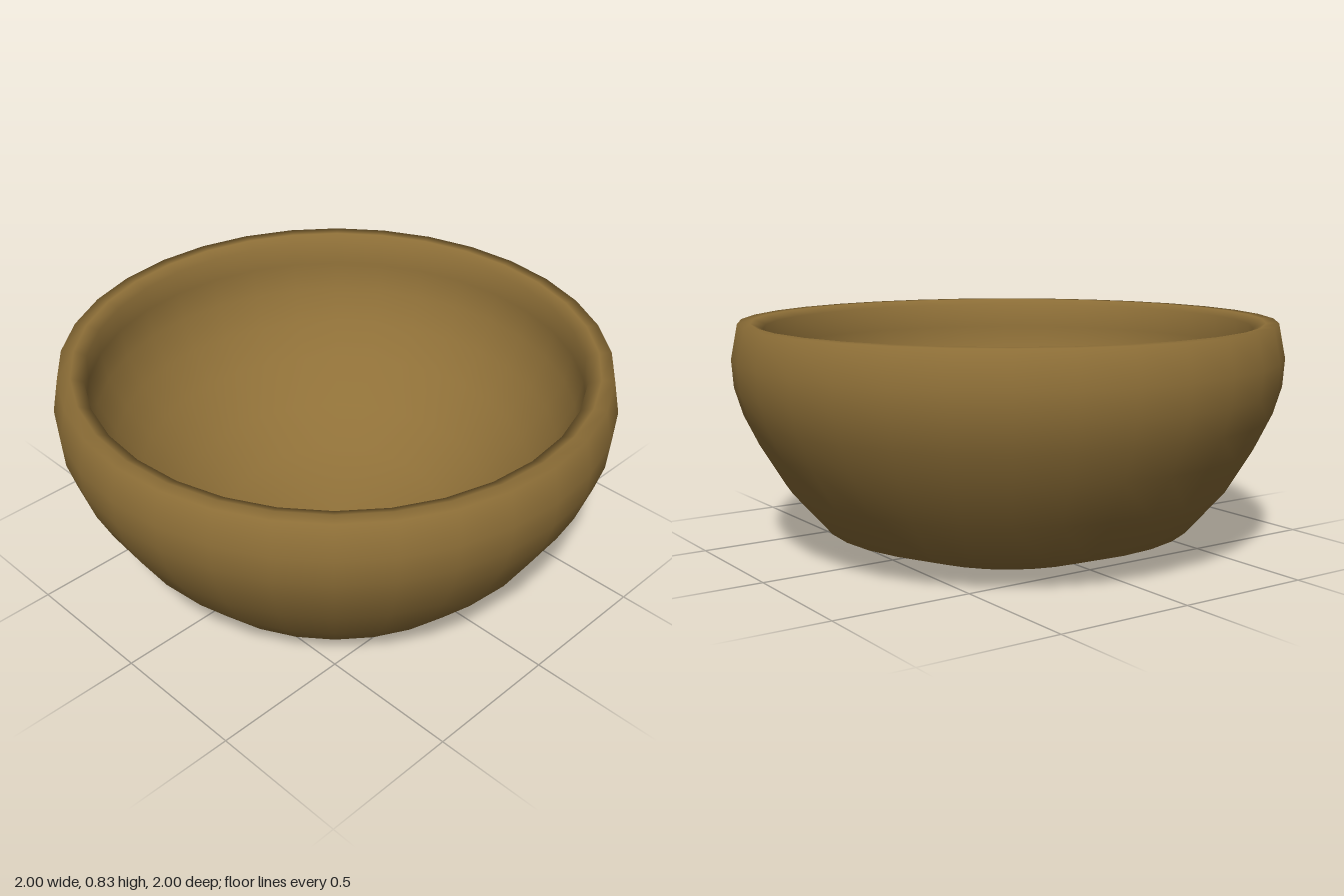
import * as THREE from 'three';

export function createModel() {
  const group = new THREE.Group();
  group.name = 'bowl';

  // Closed wall section: base, outer wall, rounded lip, round hollow
  const profile = [
    [0, 0], [0.41, 0], [0.68, 0.09], [0.82, 0.25], [0.91, 0.4],
    [0.963, 0.51], [0.993, 0.61], [1, 0.71], [0.975, 0.835],
    [0.93, 0.835], [0.885, 0.815], [0.888, 0.72], [0.868, 0.61], [0.81, 0.49],
    [0.72, 0.37], [0.57, 0.23], [0.4, 0.13], [0.2, 0.07], [0, 0.05],
  ].map(([x, y]) => new THREE.Vector2(x, y));

  const bowl = new THREE.Mesh(
    new THREE.LatheGeometry(profile, 32),
    new THREE.MeshStandardMaterial({ color: 0x8f7038 }),
  );
  bowl.name = 'bowlBody';
  group.add(bowl);
  return group;
}
